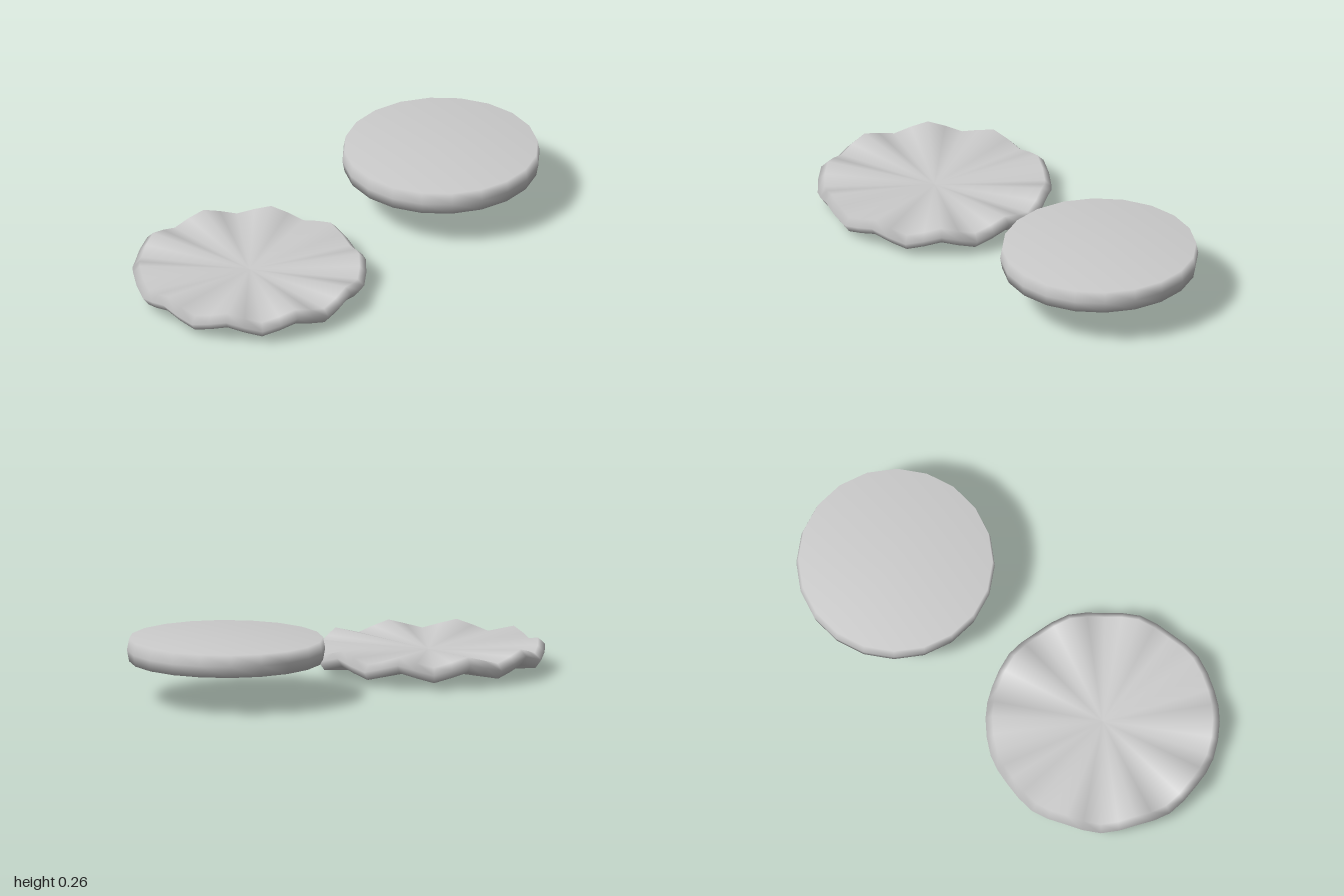
import * as THREE from 'three';

const material = new THREE.MeshStandardMaterial({ color: 0xcccccc });

// Closed disc turned from a half profile (bottom centre to top centre)
function disc(profile, segments) {
  return new THREE.LatheGeometry(profile.map(([r, y]) => new THREE.Vector2(r, y)), segments);
}

// Raises and lowers the rim in waves that fade out towards the centre
function ripple(geometry, waves, height, radius) {
  const pos = geometry.attributes.position;
  const nor = geometry.attributes.normal;
  const n = new THREE.Vector3();
  for (let i = 0; i < pos.count; i++) {
    const x = pos.getX(i), z = pos.getZ(i);
    const r = Math.hypot(x, z);
    if (r < 1e-4) continue;
    const a = Math.atan2(x, z);
    const k = Math.min(1, r / radius);
    pos.setY(i, pos.getY(i) + height * k * Math.cos(waves * a));
    // lean the smooth normal along the slope of the wave
    const slope = -height * k * waves * Math.sin(waves * a) / r;
    n.fromBufferAttribute(nor, i);
    const lean = -slope * n.y;
    n.x += lean * Math.cos(a);
    n.z -= lean * Math.sin(a);
    n.normalize();
    nor.setXYZ(i, n.x, n.y, n.z);
  }
  return geometry;
}

function addPart(group, name, geometry, x, z) {
  const mesh = new THREE.Mesh(geometry, material);
  mesh.name = name;
  mesh.position.set(x, 0, z);
  group.add(mesh);
}

export function createModel() {
  const group = new THREE.Group();
  group.name = 'discs';

  // Shallow dished disc with ten waves round the rim
  const wavy = disc([[0, 0.003], [0.466, 0.05], [0.492, 0.086], [0.463, 0.115], [0, 0.09]], 40);
  addPart(group, 'wavyDisc', ripple(wavy, 10, 0.02, 0.463), 0, 0.507);

  // Plain flat disc with a slightly bulging edge
  const flat = disc([[0, 0.169], [0.408, 0.169], [0.417, 0.217], [0.408, 0.265], [0, 0.265]], 20);
  addPart(group, 'flatDisc', flat, 0.003, -0.583);

  return group;
}
